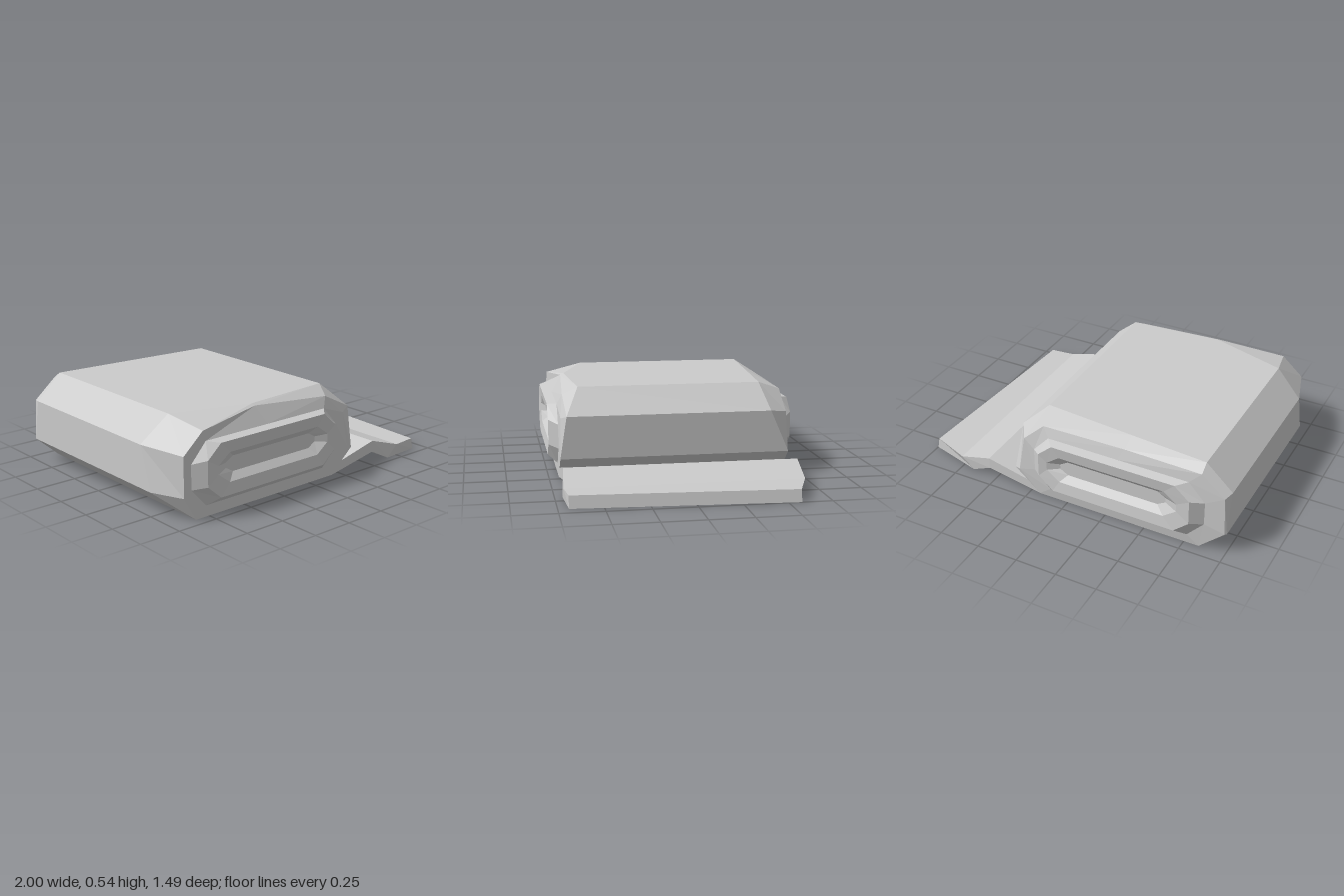
import * as THREE from 'three';

const material = new THREE.MeshStandardMaterial({ color: 0xcccccc, flatShading: true });

// Skins a list of equal-length rings (clockwise seen from the far end) and caps both ends.
function loft(name, rings) {
  const n = rings[0].length, index = [];
  for (let i = 0; i < rings.length - 1; i++) {
    for (let j = 0; j < n; j++) {
      const a = i * n + j, b = i * n + (j + 1) % n, c = a + n, d = b + n;
      index.push(a, c, b, b, c, d);
    }
  }
  const last = (rings.length - 1) * n;
  for (let j = 1; j < n - 1; j++) {
    index.push(0, j, j + 1, last, last + j + 1, last + j);
  }
  const indexed = new THREE.BufferGeometry();
  indexed.setAttribute('position', new THREE.Float32BufferAttribute(rings.flat(2), 3));
  indexed.setIndex(index);
  const geometry = indexed.toNonIndexed();
  geometry.computeVertexNormals();
  const mesh = new THREE.Mesh(geometry, material);
  mesh.name = name;
  return mesh;
}

// Bevelled oblong ring with nine points, starting at the lower left.
function oblong(x0, x1, y0, y1, cx, cy, z) {
  return [
    [x0 + cx, y0, z], [x0, y0 + cy, z], [x0, y1 - cy, z], [x0 + cx, y1, z],
    [(x0 + x1) / 2, y1, z],
    [x1 - cx, y1, z], [x1, y1 - cy, z], [x1, y0 + cy, z], [x1 - cx, y0, z],
  ];
}

// Spiral end of the roll, from the base of the raised layer to the hollow in the middle.
function spiralEnd(side) {
  return [
    oblong(-0.87, 0.21, 0.065, 0.43, 0.1, 0.11, side * 0.69),
    oblong(-0.80, 0.15, 0.11, 0.42, 0.09, 0.08, side * 0.745),
    oblong(-0.72, 0.10, 0.18, 0.35, 0.08, 0.06, side * 0.735),
    oblong(-0.64, 0.03, 0.22, 0.31, 0.05, 0.03, side * 0.70),
  ];
}

export function createModel() {
  const group = new THREE.Group();
  group.name = 'rolledMat';

  // Outer wrap: one profile with uneven ends, then the narrower end faces
  const profile = [[-0.84, 0], [-1, 0.14], [-1, 0.39], [-0.84, 0.54], [-0.37, 0.54],
    [0.19, 0.54], [0.35, 0.39], [0.35, 0.14], [0.19, 0]];
  const backZ = [-0.68, -0.67, -0.62, -0.62, -0.58, -0.53, -0.57, -0.68, -0.68];
  const frontZ = [0.69, 0.5, 0.42, 0.46, 0.61, 0.57, 0.65, 0.69, 0.69];
  const wrap = (zs) => profile.map(([x, y], i) => [x, y, zs[i]]);
  const backFace = [[-0.84, 0, -0.68], [-0.99, 0.14, -0.68], [-0.98, 0.38, -0.68],
    [-0.84, 0.5, -0.68], [-0.37, 0.5, -0.67], [0.15, 0.49, -0.67],
    [0.28, 0.37, -0.68], [0.32, 0.14, -0.685], [0.19, 0, -0.68]];
  const frontFace = [[-0.84, 0, 0.69], [-0.92, 0.14, 0.69], [-0.92, 0.375, 0.69],
    [-0.79, 0.49, 0.69], [-0.37, 0.53, 0.63], [0.15, 0.49, 0.66],
    [0.28, 0.37, 0.68], [0.32, 0.14, 0.69], [0.19, 0, 0.69]];

  group.add(loft('roll', [
    ...spiralEnd(-1).reverse(), backFace, wrap(backZ),
    wrap(frontZ), frontFace, ...spiralEnd(1),
  ]));

  // Loose end: top x, top y, bottom x, bottom y, front z, back z, slant of the end edge
  const stations = [
    [0.26, 0.07, 0.19, 0, 0.69, -0.68, 0],
    [0.54, 0.135, 0.54, 0.065, 0.69, -0.68, 0],
    [0.75, 0.07, 0.67, 0, 0.705, -0.665, 0],
    [0.905, 0.07, 0.92, 0, 0.69, -0.575, 0.08],
  ];
  group.add(loft('looseFlap', stations.map(([tx, ty, bx, by, zf, zb, slant]) => [
    [tx, ty, zf], [tx + slant, ty, zb], [bx + slant, by, zb], [bx, by, zf],
  ])));

  return group;
}
